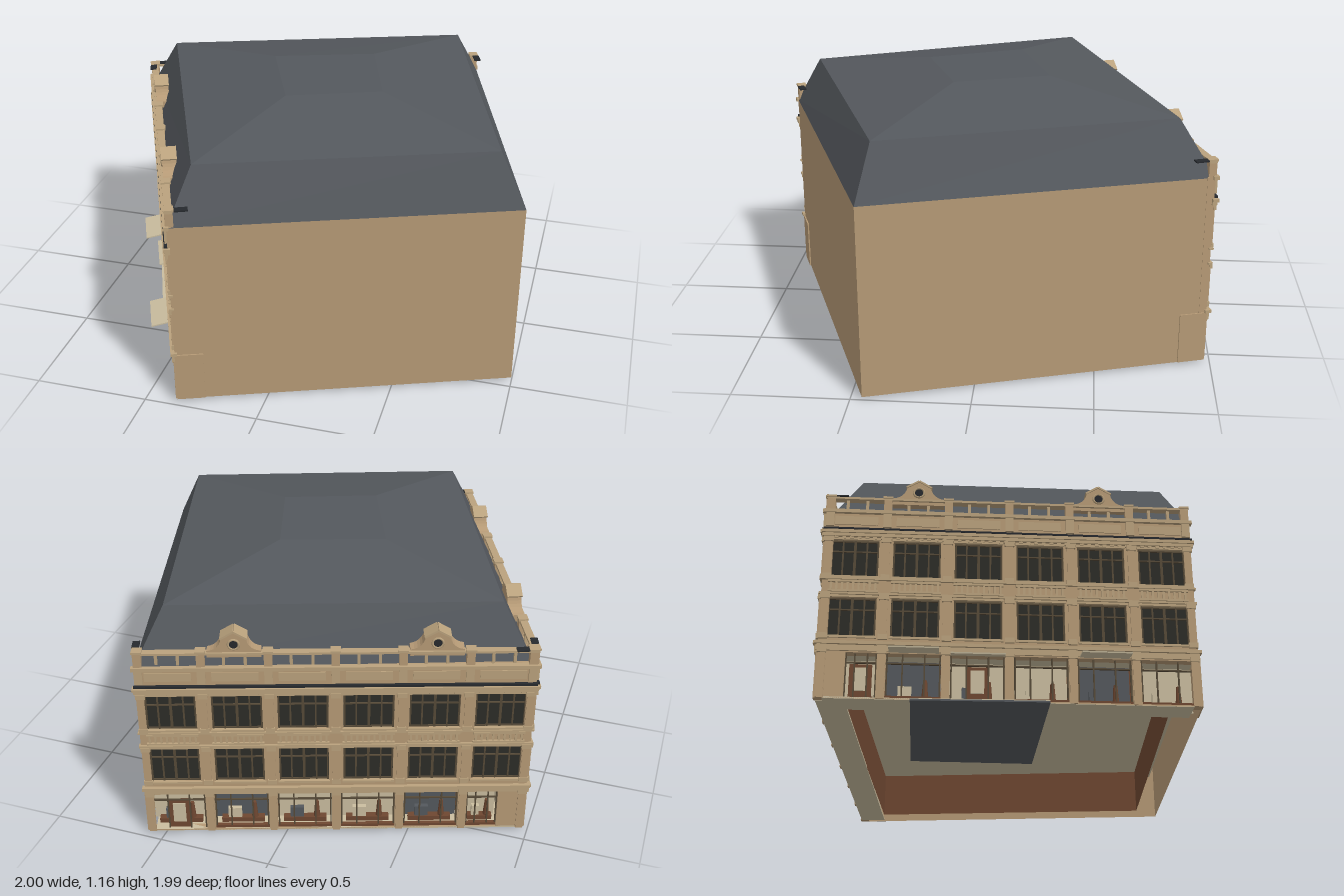
import * as THREE from 'three';

const mat = (name, color, side = THREE.FrontSide) => {
  const m = new THREE.MeshStandardMaterial({ color, side });
  m.name = name;
  return m;
};
const stone = mat('tan stone', 0xb69a76, THREE.DoubleSide);
const trim = mat('pale stone trim', 0xbaa27d);
const slate = mat('roof slate', 0x54585d, THREE.DoubleSide);
const glass = mat('dark glass', 0x2c2c27);
const bronze = mat('bronze frame', 0x564a38);
const brick = mat('red brown wood', 0x6e4731, THREE.DoubleSide);
const cream = mat('cream', 0xcabd9f, THREE.DoubleSide);
const black = mat('near black', 0x26292d);

// Plan corners [x, z], counter-clockwise from above: west, south, east, north
const W = [-0.98, -0.432], S = [-0.362, 0.973], E = [0.998, 0.45], N = [0.568, -0.973];

const add = (parent, name, geo, material, x = 0, y = 0, z = 0) => {
  const m = new THREE.Mesh(geo, material);
  m.name = name;
  m.position.set(x, y, z);
  parent.add(m);
  return m;
};
// Box given by its centre x, width, bottom and top, back and front
const box = (parent, name, material, x, w, y0, y1, z0, z1) =>
  add(parent, name, new THREE.BoxGeometry(w, y1 - y0, z1 - z0), material, x, (y0 + y1) / 2, (z0 + z1) / 2);

// Group whose x runs along a wall and whose z points out of it
function wallFrame(name, p, q) {
  const g = new THREE.Group();
  g.name = name;
  g.position.set(p[0], 0, p[1]);
  g.rotation.y = Math.atan2(p[1] - q[1], q[0] - p[0]);
  g.userData.length = Math.hypot(q[0] - p[0], q[1] - p[1]);
  return g;
}

// Faces between successive rings of plan corners; optional cap on the last ring
function loft(rings, cap) {
  const v = [];
  for (let r = 0; r + 1 < rings.length; r++) {
    const [a, b] = [rings[r], rings[r + 1]];
    a.forEach((_, i) => {
      const j = (i + 1) % a.length;
      v.push(...a[i], ...a[j], ...b[j], ...a[i], ...b[j], ...b[i]);
    });
  }
  const t = rings[rings.length - 1];
  if (cap) v.push(...t[0], ...t[1], ...t[2], ...t[0], ...t[2], ...t[3]);
  const g = new THREE.BufferGeometry();
  g.setAttribute('position', new THREE.Float32BufferAttribute(v, 3));
  g.computeVertexNormals();
  return g;
}
const ring = (y, pts) => pts.map(([x, z]) => [x, y, z]);

function rectHole(x0, x1, y0, y1) {
  const h = new THREE.Path();
  h.moveTo(x0, y0); h.lineTo(x0, y1); h.lineTo(x1, y1); h.lineTo(x1, y0); h.closePath();
  return h;
}

// Scrolled gable with a round eye
function gable(parent, x) {
  const s = new THREE.Shape();
  s.moveTo(-0.11, 0);
  s.lineTo(-0.11, 0.03);
  s.quadraticCurveTo(-0.06, 0.035, -0.05, 0.085);
  s.lineTo(0, 0.115);
  s.lineTo(0.05, 0.085);
  s.quadraticCurveTo(0.06, 0.035, 0.11, 0.03);
  s.lineTo(0.11, 0);
  s.closePath();
  add(parent, 'gable', new THREE.ExtrudeGeometry(s, { depth: 0.06, bevelEnabled: false, curveSegments: 6 }), stone, x, 0.905, -0.065);
  add(parent, 'gableEyeRim', new THREE.TorusGeometry(0.022, 0.005, 6, 16), trim, x, 0.965, -0.004);
  add(parent, 'gableEye', new THREE.CircleGeometry(0.02, 16), black, x, 0.965, -0.003);
  for (const k of [-1, 1]) {
    const c = box(parent, 'gableCoping', trim, x + k * 0.027, 0.062, 1.003, 1.011, -0.067, -0.001);
    c.rotation.z = -k * 0.54;
  }
}

function windowBay(g, x, w, y0, y1) {
  box(g, 'windowGlass', glass, x, w, y0, y1, -0.02, -0.014);
  for (const f of [-0.48, -0.25, 0, 0.25, 0.48])
    box(g, 'windowMullion', bronze, x + f * w, f === 0 ? 0.011 : 0.007, y0, y1, -0.014, -0.007);
  for (const f of [0.02, 0.7, 0.98]) {
    const y = y0 + f * (y1 - y0);
    box(g, 'windowTransom', bronze, x, w, y - 0.003, y + 0.003, -0.014, -0.008);
  }
  box(g, 'windowSill', trim, x, w + 0.01, y0 - 0.01, y0, -0.02, 0.007);
  box(g, 'windowHead', trim, x, w + 0.01, y1, y1 + 0.01, -0.02, 0.005);
}

function shopBay(g, x, w, i, door) {
  // Window display seen through the opening
  box(g, 'displayBackdrop', i % 3 === 1 ? slate : cream, x, w, 0.018, 0.21, -0.09, -0.085);
  box(g, 'displayPlinth', brick, x, w * 0.8, 0.018, 0.04, -0.075, -0.045);
  box(g, 'displayGoods', i % 2 ? cream : slate, x - w * 0.15, w * 0.25, 0.04, 0.09, -0.07, -0.05);
  add(g, 'displayStand', new THREE.CylinderGeometry(0.008, 0.014, 0.08, 8), brick, x + w * 0.22, 0.08, -0.06);
  if (door) {
    box(g, 'doorLeaf', brick, x, 0.09, 0.018, 0.165, -0.03, -0.015);
    box(g, 'doorPane', cream, x, 0.055, 0.05, 0.15, -0.015, -0.012);
  } else box(g, 'stallRiser', brick, x, w, 0.015, 0.03, -0.025, -0.008);
  for (const f of [-0.48, -0.2, 0.2, 0.48])
    box(g, 'shopMullion', bronze, x + f * w, 0.006, 0.018, 0.21, -0.018, -0.01);
  box(g, 'shopTransom', bronze, x, w, 0.168, 0.174, -0.018, -0.01);
}

// Ornate street front; cornerAt is the end with the wide corner pier (0 or 1)
function streetFront(name, p, q, cornerAt, doors) {
  const g = wallFrame(name, p, q), L = g.userData.length, B = L / 6;
  const s = new THREE.Shape();
  s.moveTo(0, 0.012); s.lineTo(L, 0.012); s.lineTo(L, 0.86); s.lineTo(0, 0.86); s.closePath();
  const storeys = [[0.282, 0.455], [0.553, 0.722]], ww = B * 0.77;
  for (let i = 0; i < 6; i++) {
    const x = (i + 0.5) * B;
    for (const [y0, y1] of storeys) {
      s.holes.push(rectHole(x - ww / 2, x + ww / 2, y0, y1));
      windowBay(g, x, ww, y0, y1);
    }
    // Shop opening, narrower beside the corner pier
    let x0 = x - B * 0.43, x1 = x + B * 0.43;
    if (i === 0 && cornerAt === 0) x0 += B * 0.37;
    if (i === 5 && cornerAt === 1) x1 -= B * 0.37;
    s.holes.push(rectHole(x0, x1, 0.018, 0.21));
    shopBay(g, (x0 + x1) / 2, x1 - x0, i, doors.includes(i));
    // Spandrel balustrade
    box(g, 'spandrelRail', trim, x, B * 0.8, 0.522, 0.532, 0, 0.009);
    box(g, 'spandrelBase', trim, x, B * 0.8, 0.478, 0.487, 0, 0.009);
    for (let k = -4; k <= 4; k++)
      box(g, 'spandrelBaluster', trim, x + k * B * 0.088, 0.009, 0.487, 0.522, 0, 0.006);
    // Open parapet and frieze panel
    for (const k of [-1, 1])
      box(g, 'parapetBaluster', trim, x + k * B * 0.16, 0.012, 0.86, 0.92, -0.022, -0.008);
    box(g, 'friezePanel', trim, x, B * 0.7, 0.795, 0.835, 0, 0.004);
  }
  add(g, 'frontWall', new THREE.ExtrudeGeometry(s, { depth: 0.035, bevelEnabled: false }), stone, 0, 0, -0.035);

  // Pilasters, brackets and parapet posts on the bay lines
  for (let i = 0; i <= 6; i++) {
    const x = Math.min(Math.max(i * B, 0.018), L - 0.018);
    box(g, 'shopPilaster', stone, x, 0.03, 0.012, 0.215, 0, 0.006);
    box(g, 'shopCapital', trim, x, 0.038, 0.205, 0.24, 0, 0.012);
    for (const [y0, y1] of storeys) {
      box(g, 'pilaster', stone, x, 0.03, y0 - 0.01, y1 + 0.01, 0, 0.007);
      box(g, 'pilasterBase', trim, x, 0.038, y0 - 0.015, y0 + 0.008, 0, 0.01);
      box(g, 'pilasterCapital', trim, x, 0.04, y1 - 0.01, y1 + 0.012, 0, 0.012);
    }
    box(g, 'friezeBracket', trim, x, 0.034, 0.785, 0.85, 0, 0.01);
    box(g, 'parapetPost', stone, x, 0.034, 0.86, 0.928, -0.03, 0.004);
    box(g, 'parapetPostCap', trim, x, 0.042, 0.927, 0.936, -0.034, 0.008);
  }

  // Continuous mouldings: name, bottom, top, projection
  for (const [n, y0, y1, z] of [
    ['shopFascia', 0.215, 0.24, 0.007], ['shopCornice', 0.24, 0.254, 0.017], ['middleBand', 0.466, 0.475, 0.01],
    ['upperBand', 0.534, 0.542, 0.01], ['mainArchitrave', 0.736, 0.75, 0.012], ['mainCornice', 0.75, 0.764, 0.018],
    ['topCornice', 0.848, 0.864, 0.014],
  ]) box(g, n, trim, L / 2, L + 1.4 * z, y0, y1, -0.01, z);
  box(g, 'parapetRail', trim, L / 2, L, 0.919, 0.929, -0.028, 0.004);
  box(g, 'gutterLine', black, L / 2, L + 0.01, 0.767, 0.776, 0, 0.014);
  for (const x of [0.01, L - 0.01]) box(g, 'gutterEnd', black, x, 0.03, 0.928, 0.934, -0.09, -0.034);
  for (let k = 0, n = 48; k < n; k++)
    box(g, 'dentil', trim, (k + 0.5) * L / n, L / n * 0.5, 0.727, 0.736, 0, 0.008);

  // Shop floor and gables
  box(g, 'shopFloor', cream, L / 2, L - 0.06, 0.01, 0.018, -0.115, 0);
  gable(g, 1.5 * B);
  gable(g, 4.5 * B);
  return g;
}

export function createModel() {
  const model = new THREE.Group();
  model.name = 'cornerBuilding';

  model.add(streetFront('backStreetFront', N, W, 1, [0]));
  const side = streetFront('sideStreetFront', W, S, 0, [0, 2]);
  const B = side.userData.length / 6;
  for (const [i, w, d] of [[1, 0.2, 0.09], [2, 0.22, 0.035], [4, 0.2, 0.09]]) {
    const a = box(side, 'awning', cream, (i + 0.5) * B, w, 0.205, 0.211, 0, d);
    a.rotation.x = 0.18;
  }
  model.add(side);

  // Plain party walls with a low corner panel at the street end
  for (const [name, p, q, atEnd] of [['frontPartyWall', S, E, false], ['rightPartyWall', E, N, true]]) {
    const g = wallFrame(name, p, q), L = g.userData.length;
    add(g, 'plainWall', new THREE.PlaneGeometry(L, 0.843), stone, L / 2, 0.4335, 0);
    box(g, 'cornerPanel', stone, atEnd ? L - 0.06 : 0.06, 0.12, 0.013, 0.24, 0, 0.006);
    model.add(g);
  }

  // Mansard roof with a shallow upper slope and flat top
  add(model, 'mansardRoof', loft([
    ring(0.855, [[-0.955, -0.412], S, E, N]),
    ring(1.083, [[-0.81, -0.355], [-0.295, 0.84], [0.875, 0.4], [0.49, -0.82]]),
    ring(1.165, [[-0.24, -0.13], [-0.07, 0.28], [0.32, 0.13], [0.19, -0.275]]),
  ], true), slate);

  // Inner ground-floor walls and the ceiling above them
  const inner = [[-0.83, -0.37], [-0.3, 0.82], [0.87, 0.385], [0.5, -0.82]];
  add(model, 'innerWalls', loft([ring(0.012, inner), ring(0.215, inner)]), brick);
  const ceiling = ring(0.215, [W, S, E, N].map(([x, z]) => [x * 0.97, z * 0.97]));
  add(model, 'groundCeiling', loft([ceiling], true), cream);

  // Low room behind the shops, on a slab that runs out to a step at the street
  const room = [[-0.72, -0.135], [-0.5, 0.365], [0.01, 0.13], [-0.21, -0.36]];
  add(model, 'lowRoom', loft([ring(0.008, room), ring(0.214, room)]), cream);
  const plan = [[-0.85, -0.08], [-0.64, 0.43], [0.01, 0.13], [-0.21, -0.36]];
  const slab = new THREE.Shape(plan.map(([x, z]) => new THREE.Vector2(x, -z)));
  for (const [name, y, depth, m] of [['baseSlab', 0, 0.007, slate], ['streetStep', 0.007, 0.003, cream]]) {
    const mesh = add(model, name, new THREE.ExtrudeGeometry(slab, { depth, bevelEnabled: false }), m, 0, y, 0);
    mesh.rotation.x = -Math.PI / 2;
  }
  return model;
}
